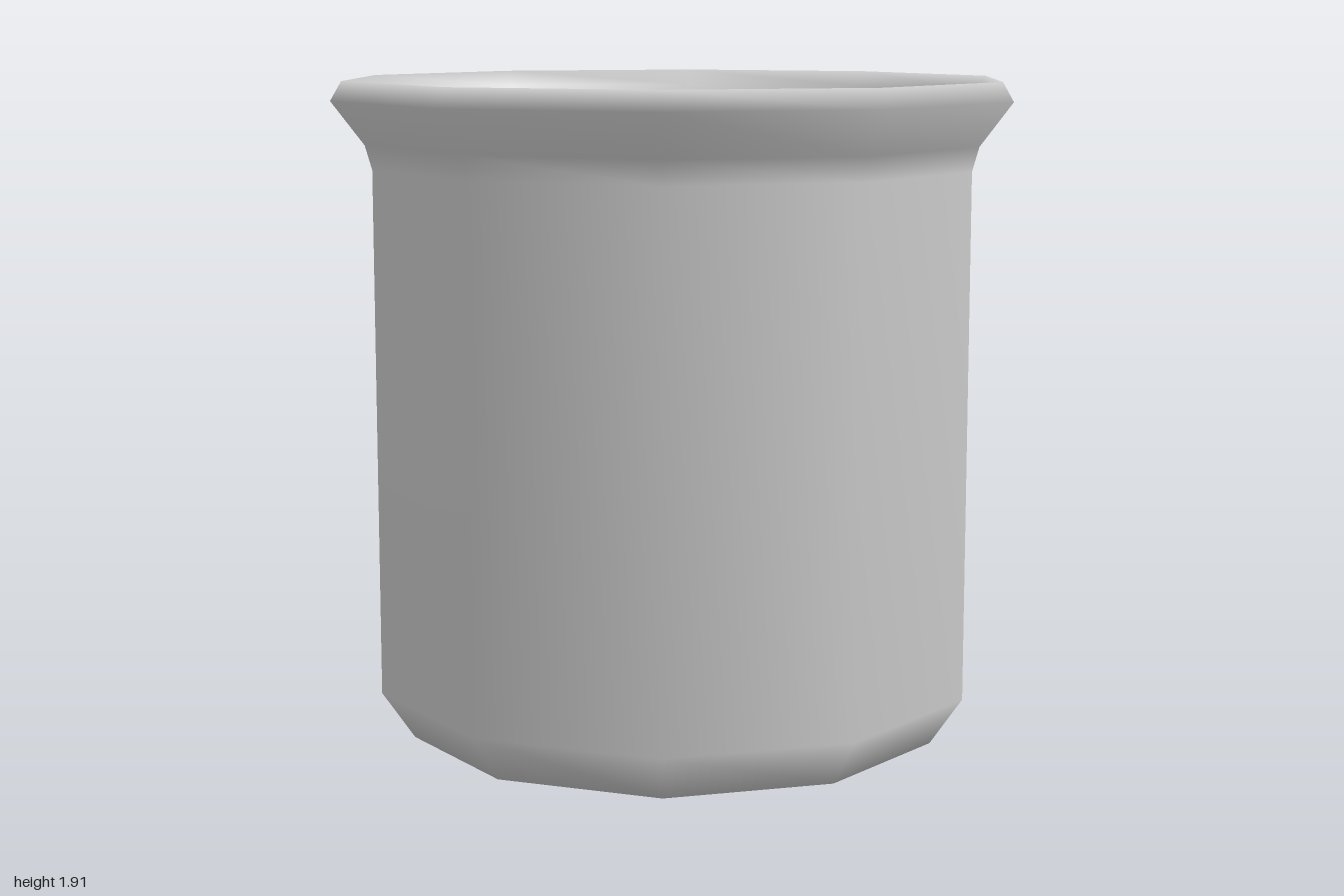
import * as THREE from 'three';

const SIDES = 10;

export function createModel() {
  const model = new THREE.Group();
  const material = new THREE.MeshStandardMaterial({ color: 0xcccccc });
  const floorY = 0.14;
  const innerRadius = 0.84;

  // Shell: underside, chamfer, wall, flared lip and inner wall as one turned profile [radius, y]
  const profile = [
    [0, 0], [0.79, 0], [0.885, 0.14], [0.885, 1.66], [0.905, 1.73], [1, 1.855],
    [0.968, 1.91], [0.925, 1.865], [0.86, 1.75], [innerRadius, 1.66], [innerRadius, floorY],
  ].map(([r, y]) => new THREE.Vector2(r, y));
  const shell = new THREE.Mesh(new THREE.LatheGeometry(profile, SIDES), material);
  shell.name = 'potShell';
  model.add(shell);

  // Flat inner floor, corners aligned with the shell
  const floorGeometry = new THREE.CircleGeometry(innerRadius, SIDES, Math.PI / 2);
  floorGeometry.rotateX(-Math.PI / 2);
  const floor = new THREE.Mesh(floorGeometry, material);
  floor.name = 'innerFloor';
  floor.position.y = floorY;
  model.add(floor);

  return model;
}
